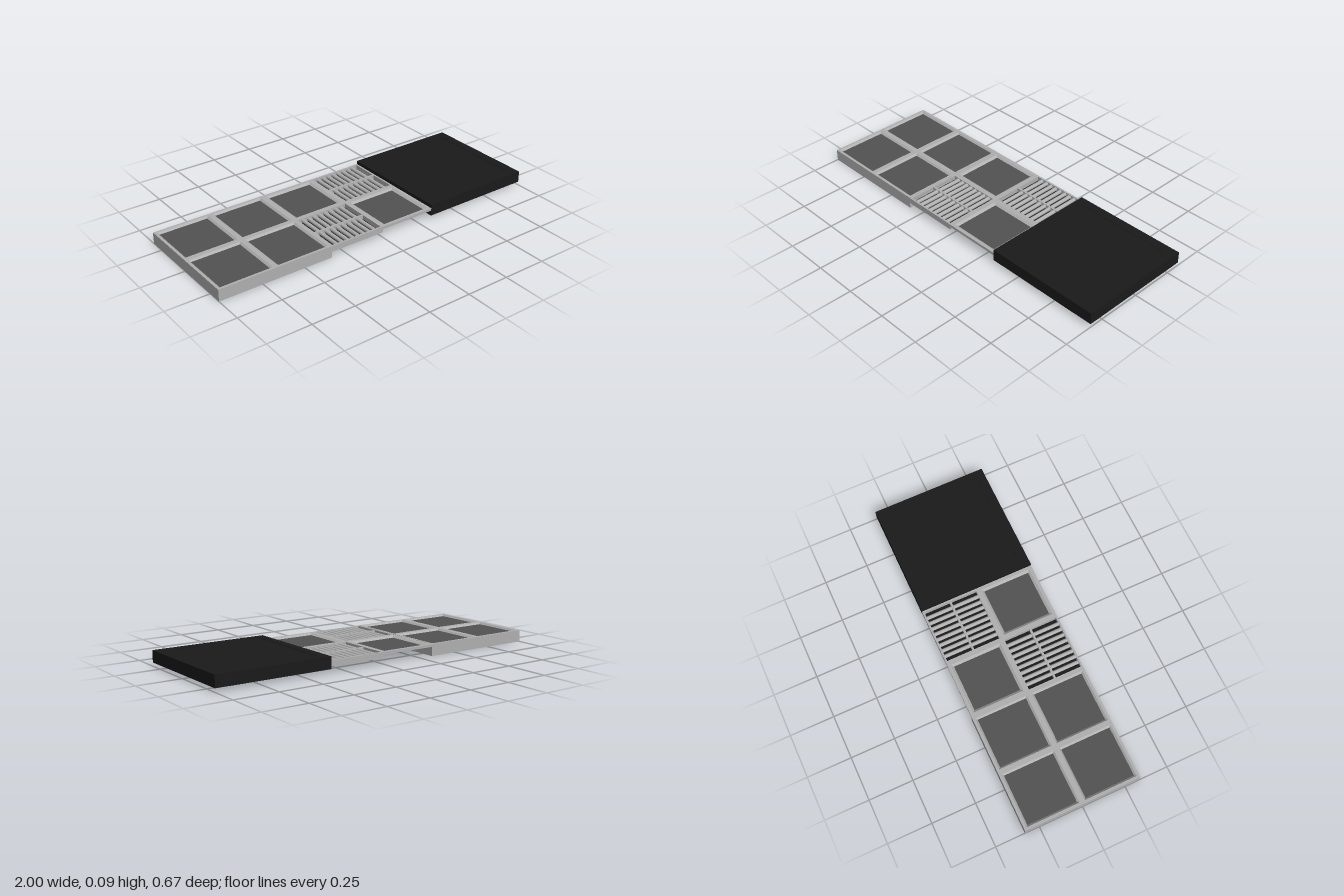
import * as THREE from 'three';

const mat = (name, color) => {
  const m = new THREE.MeshStandardMaterial({ color });
  m.name = name;
  return m;
};

export function createModel() {
  const light = mat('light grey', 0xb0b0b0);
  light.side = THREE.DoubleSide;
  const panelGrey = mat('panel grey', 0x525252);
  const black = mat('black', 0x1a1a1a);

  const root = new THREE.Group();
  root.name = 'floorTileSet';

  const add = (parent, name, geo, material, x = 0, y = 0, z = 0) => {
    const mesh = new THREE.Mesh(geo, material);
    mesh.name = name;
    mesh.position.set(x, y, z);
    parent.add(mesh);
    return mesh;
  };
  const box = (parent, name, w, h, d, material, x, y, z) =>
    add(parent, name, new THREE.BoxGeometry(w, h, d), material, x, y, z);
  const group = (name, x, z) => {
    const g = new THREE.Group();
    g.name = name;
    g.position.set(x, 0, z);
    root.add(g);
    return g;
  };

  // Rectangular path centred on (x, z)
  const rect = (path, x, z, hw, hd) => {
    path.moveTo(x - hw, -z - hd);
    path.lineTo(x + hw, -z - hd);
    path.lineTo(x + hw, -z + hd);
    path.lineTo(x - hw, -z + hd);
    path.closePath();
    return path;
  };
  // Horizontal square plate from y0 to y1 with square holes [x, z, half size]
  const plate = (half, y0, y1, holes) => {
    const shape = rect(new THREE.Shape(), 0, 0, half, half);
    for (const [x, z, h] of holes) shape.holes.push(rect(new THREE.Path(), x, z, h, h));
    const geo = new THREE.ExtrudeGeometry(shape, { depth: y1 - y0, bevelEnabled: false });
    return geo.rotateX(-Math.PI / 2).translate(0, y0, 0);
  };
  // Sloped square rim leading down to a recessed panel
  const recess = (parent, x, z, outer, inner, top, bottom) => {
    const geo = new THREE.CylinderGeometry(outer * Math.SQRT2, inner * Math.SQRT2, top - bottom, 4, 1, true)
      .rotateY(Math.PI / 4).toNonIndexed();
    geo.computeVertexNormals();
    add(parent, 'panelBevel', geo, light, x, (top + bottom) / 2, z);
    box(parent, 'recessedPanel', inner * 2, 0.003, inner * 2, panelGrey, x, bottom - 0.0015, z);
  };

  const T = 1 / 3, H = T / 2; // tile size and half size

  // Thick block with four recessed panels
  const block = group('fourPanelBlock', -2 * T, 0);
  const centres = [];
  for (const x of [-H, H]) for (const z of [-H, H]) centres.push([x, z, 0.152]);
  add(block, 'blockFrame', plate(T, 0.003, 0.067, centres), light);
  box(block, 'blockUnderside', 2 * T, 0.003, 2 * T, light, 0, 0.0015, 0);
  for (const [x, z, h] of centres) recess(block, x, z, h, 0.142, 0.067, 0.057);

  // Thin panel tiles, flat and dark underneath
  const panelTile = (x, z) => {
    const g = group('panelTile', x, z);
    add(g, 'tileFrame', plate(H, 0.051, 0.066, [[0, 0, 0.148]]), light);
    recess(g, 0, 0, 0.148, 0.135, 0.066, 0.056);
    add(g, 'undersideBorder', plate(0.148, 0.051, 0.052, [[0, 0, 0.138]]), light);
    box(g, 'undersidePanel', 0.276, 0.002, 0.276, panelGrey, 0, 0.052, 0);
  };

  // Deeper tiles with rounded slats over a dark floor
  const grateTile = (x, z) => {
    const g = group('grateTile', x, z);
    add(g, 'grateFrame', plate(H, 0.033, 0.066, [[0, 0, 0.156]]), light);
    box(g, 'grateUnderside', 0.312, 0.003, 0.312, light, 0, 0.0345, 0);
    box(g, 'grateFloor', 0.312, 0.004, 0.312, black, 0, 0.038, 0);
    box(g, 'grateCrossbar', 0.312, 0.025, 0.012, light, 0, 0.0525, 0);
    for (let i = 0; i < 8; i++) {
      const bar = new THREE.CylinderGeometry(0.011, 0.011, 0.312, 14, 1, true).rotateX(Math.PI / 2);
      add(g, 'slat', bar, light, (i - 3.5) * 0.035, 0.053, 0);
    }
  };
  panelTile(-H, -H);
  panelTile(H, H);
  grateTile(-H, H);
  grateTile(H, -H);

  // Dark slab with a very shallow inset top
  const slab = group('darkSlab', 2 * T, 0);
  box(slab, 'slabBody', 2 * T, 0.064, 2 * T, black, 0, 0.052, 0);
  add(slab, 'slabTopRim', plate(T, 0.084, 0.086, [[0, 0, 0.282]]), black);

  return root;
}
